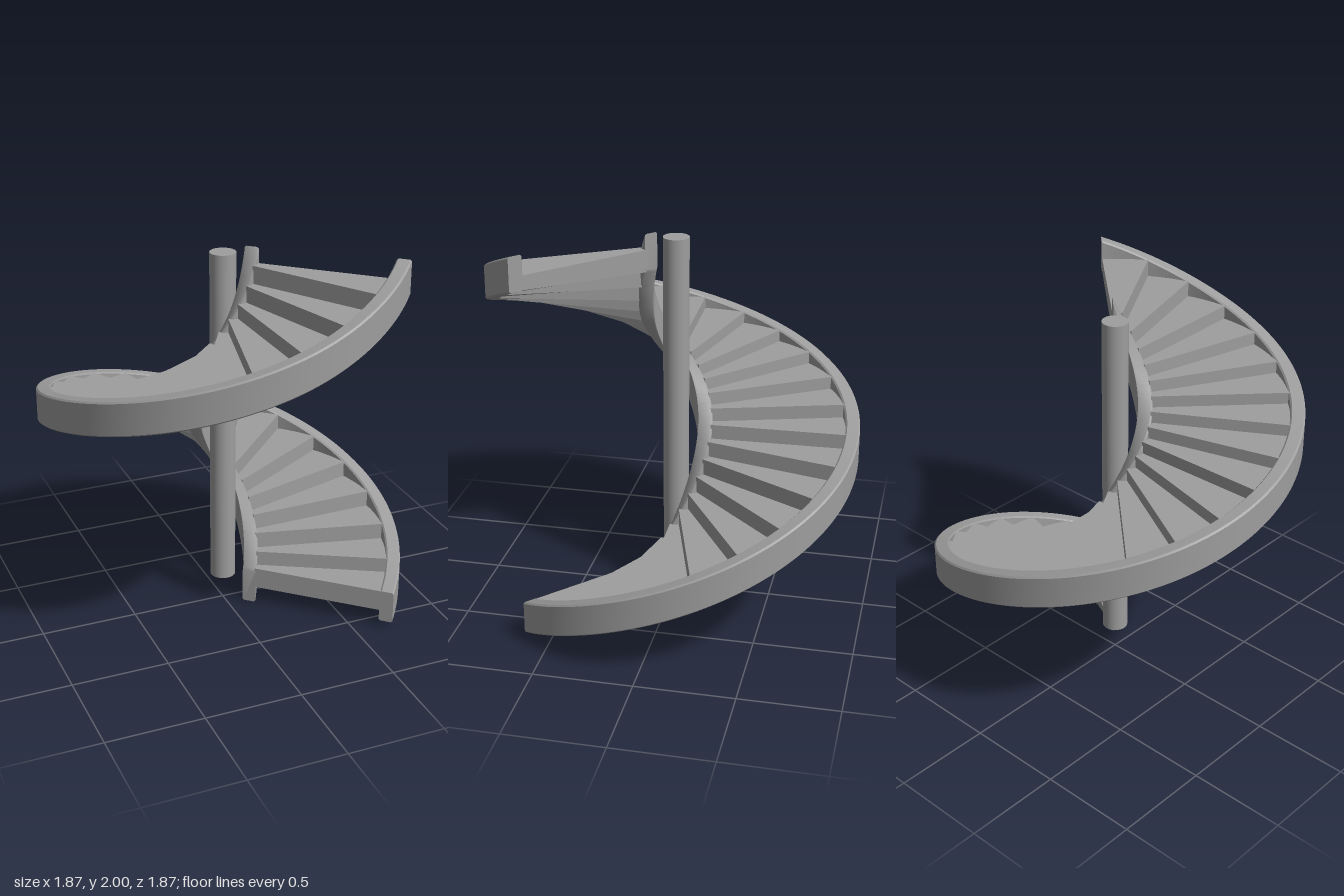
import * as THREE from 'three';
import { toCreasedNormals } from 'three/addons/utils/BufferGeometryUtils.js';

const START = 42.5; // heading of the first step, in degrees
const STEPS = 24;
const NOSING = 1.3; // degrees each step reaches over the one below

// Climb of the stair: [degrees turned, height of the stringer's middle]
const CLIMB = [[0, 0.12], [42.5, 0.365], [132.5, 0.86], [222.5, 1.25], [312.5, 1.635], [360, 1.913]];

// Smooth interpolation through the climb points
function climb(t) {
  const n = CLIMB.length;
  const chord = (i) => (CLIMB[i + 1][1] - CLIMB[i][1]) / (CLIMB[i + 1][0] - CLIMB[i][0]);
  const slope = (i) => (i === 0 ? chord(0) : i === n - 1 ? chord(n - 2) : (chord(i - 1) + chord(i)) / 2);
  let i = 0;
  while (i < n - 2 && t > CLIMB[i + 1][0]) i++;
  const [t0, y0] = CLIMB[i], [t1, y1] = CLIMB[i + 1];
  const h = t1 - t0, s = (t - t0) / h, s2 = s * s, s3 = s2 * s;
  return (2 * s3 - 3 * s2 + 1) * y0 + (s3 - 2 * s2 + s) * h * slope(i)
    + (3 * s2 - 2 * s3) * y1 + (s3 - s2) * h * slope(i + 1);
}

// Sweeps a convex section of [radius, height] points around the axis, from t0 to t1 degrees
function sweep(sectionAt, t0, t1, segments) {
  const pos = [], index = [], m = sectionAt(t0).length;
  for (let i = 0; i <= segments; i++) {
    const t = t0 + ((t1 - t0) * i) / segments;
    const a = THREE.MathUtils.degToRad(START - t);
    for (const [r, y] of sectionAt(t)) pos.push(r * Math.cos(a), y, r * Math.sin(a));
  }
  for (let i = 0; i < segments; i++) {
    for (let j = 0; j < m; j++) {
      const a = i * m + j, b = i * m + ((j + 1) % m), c = b + m, d = a + m;
      index.push(a, d, c, a, c, b);
    }
  }
  const e = segments * m;
  for (let j = 1; j < m - 1; j++) {
    index.push(0, j, j + 1);
    index.push(e, e + j + 1, e + j);
  }
  const g = new THREE.BufferGeometry();
  g.setAttribute('position', new THREE.Float32BufferAttribute(pos, 3));
  g.setIndex(index);
  return toCreasedNormals(g, 0.5);
}

// Climbing band of upright rectangular section with small chamfers
function stringer(r0, r1, y0, y1) {
  const c = 0.008;
  const section = [[r0 + c, y0], [r1 - c, y0], [r1, y0 + c], [r1, y1 - c],
    [r1 - c, y1], [r0 + c, y1], [r0, y1 - c], [r0, y0 + c]];
  return sweep((t) => section.map(([r, y]) => [r, y + climb(t)]), 0, 360, 160);
}

// Wedge-shaped step; its outer lower edge stays within the outer stringer
function step(t0, t1) {
  const top = climb(t0) + 0.085, bottom = top - 0.112;
  const section = (t) => [[0.178, bottom], [0.875, Math.max(bottom, climb(t) - 0.084)], [0.875, top], [0.178, top]];
  return sweep(section, t0, t1, 6);
}

export function createModel() {
  const group = new THREE.Group();
  const material = new THREE.MeshStandardMaterial({ color: 0x9e9e9e });
  const add = (name, geometry) => {
    const mesh = new THREE.Mesh(geometry, material);
    mesh.name = name;
    group.add(mesh);
    return mesh;
  };

  // Central pole
  add('centralPole', new THREE.CylinderGeometry(0.066, 0.066, 1.787, 48)).position.y = 1.043;

  // Curved stringers on both sides of the steps
  add('outerStringer', stringer(0.863, 0.936, -0.087, 0.087));
  add('innerStringer', stringer(0.113, 0.185, -0.118, 0.067));

  // Steps, each overlapping the one below
  const turn = 360 / STEPS;
  for (let k = 0; k < STEPS; k++) {
    add('step' + (k + 1), step(Math.max(0.1, k * turn - NOSING), (k + 1) * turn - 0.1));
  }

  return group;
}
